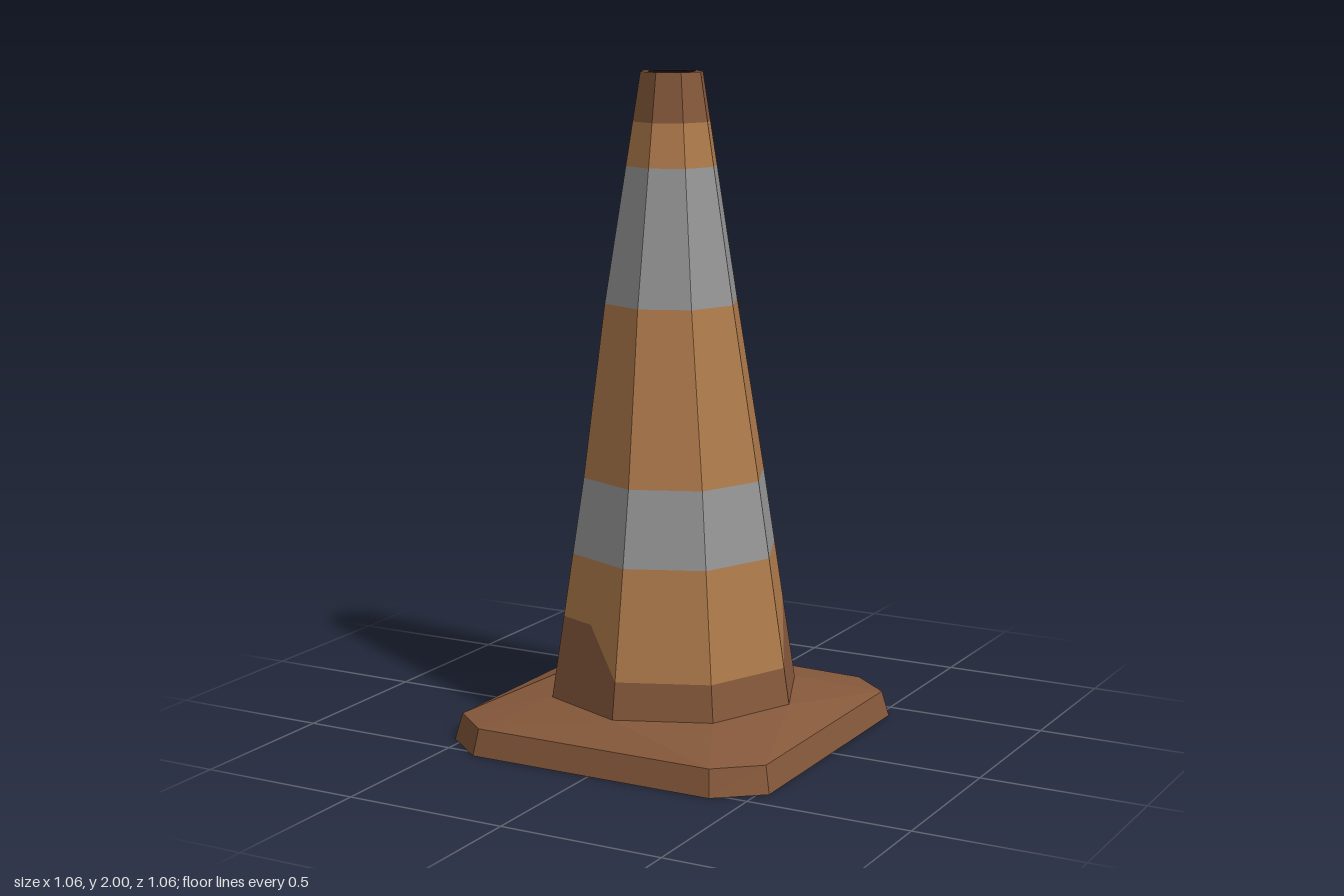
import * as THREE from 'three';

const material = (name, color) => Object.assign(new THREE.MeshStandardMaterial({ color }), { name });

// Cone sections: height, centre x, centre z, radius (slightly crooked)
const SECTIONS = [
  [0.13, 0, 0, 0.387],
  [0.80, -0.003, -0.002, 0.283],
  [1.32, -0.016, -0.006, 0.206],
  [2.00, -0.015, -0.006, 0.096],
];

// Point on the eight-sided cone; even steps are corners, odd steps are face middles
function conePoint(step, y, inset = 0) {
  let s = 0;
  while (s < SECTIONS.length - 2 && y > SECTIONS[s + 1][0]) s++;
  const a = SECTIONS[s], b = SECTIONS[s + 1];
  const t = (y - a[0]) / (b[0] - a[0]);
  const [cx, cz, r] = [1, 2, 3].map((i) => a[i] + (b[i] - a[i]) * t);
  const corner = (i) => {
    const angle = (i / 16) * Math.PI * 2;
    return new THREE.Vector3(cx + Math.cos(angle) * (r - inset), y, cz + Math.sin(angle) * (r - inset));
  };
  return step % 2 ? corner(step - 1).lerp(corner(step + 1), 0.5) : corner(step);
}

const coneLoop = (heights, inset = 0) =>
  Array.from({ length: 16 }, (_, i) => conePoint(i, Array.isArray(heights) ? heights[i] : heights, inset));

// Flat-faced strip between two closed loops, facing outward when going from lower to upper
function strip(name, mat, lower, upper) {
  const pos = [];
  const tri = (a, b, c) => {
    if (a.distanceTo(b) < 1e-6 || b.distanceTo(c) < 1e-6 || c.distanceTo(a) < 1e-6) return;
    for (const p of [a, b, c]) pos.push(p.x, p.y, p.z);
  };
  lower.forEach((p, i) => {
    const j = (i + 1) % lower.length;
    tri(lower[j], p, upper[i]);
    tri(lower[j], upper[i], upper[j]);
  });
  const geometry = new THREE.BufferGeometry();
  geometry.setAttribute('position', new THREE.Float32BufferAttribute(pos, 3));
  geometry.computeVertexNormals();
  const mesh = new THREE.Mesh(geometry, mat);
  mesh.name = name;
  return mesh;
}

// Square with cut corners; h is the half width, a and b the ends of the straight edges
function baseLoop(y, h, a, b) {
  return [[h, -a], [h, a], [b, h], [-b, h], [-h, a], [-h, -a], [-b, -h], [b, -h]]
    .map(([x, z]) => new THREE.Vector3(x, y, z));
}

export function createModel() {
  const group = new THREE.Group();
  const brown = material('dirty brown', 0x85583b);
  const orange = material('faded orange', 0xae7a4b);
  const grey = material('reflective grey', 0x959595);
  const black = material('hole black', 0x0b0b0b);

  // Base plate: underside, rim and sloped top
  const foot = baseLoop(0, 0.53, 0.42, 0.395);
  const lip = baseLoop(0.08, 0.512, 0.405, 0.385);
  const centre = foot.map(() => new THREE.Vector3());
  group.add(strip('baseUnderside', brown, centre, foot));
  group.add(strip('baseRim', brown, foot, lip));
  const slopeLower = Array.from({ length: 16 }, (_, i) => lip[Math.floor((i + 1) / 2) % 8]);
  const slopeUpper = Array.from({ length: 16 }, (_, i) => conePoint(Math.floor(i / 2) * 2, 0.13));
  group.add(strip('baseTop', brown, slopeLower, slopeUpper));

  // Dirt line with two splashes
  const dirt = new Array(16).fill(0.24);
  const splash = { 5: 0.38, 6: 0.38, 7: 0.31, 11: 0.4, 12: 0.4, 13: 0.4, 14: 0.4, 15: 0.32 };
  for (const i in splash) dirt[i] = splash[i];

  // Coloured bands up the cone
  const bands = [
    ['lowerDirt', brown, 0.13, dirt],
    ['lowerOrange', orange, dirt, 0.57],
    ['lowerStripe', grey, 0.57, 0.80],
    ['middleOrange', orange, 0.80, 1.32],
    ['upperStripe', grey, 1.32, 1.725],
    ['upperOrange', orange, 1.725, 1.855],
    ['tip', brown, 1.855, 2],
  ];
  for (const [name, mat, from, to] of bands) group.add(strip(name, mat, coneLoop(from), coneLoop(to)));

  // Top rim and dark hole
  const rimInner = coneLoop(2, 0.023);
  const bottom = rimInner.map(() => new THREE.Vector3(-0.015, 1.9, -0.006));
  group.add(strip('topRim', brown, coneLoop(2), rimInner));
  group.add(strip('hole', black, rimInner, bottom));
  return group;
}
